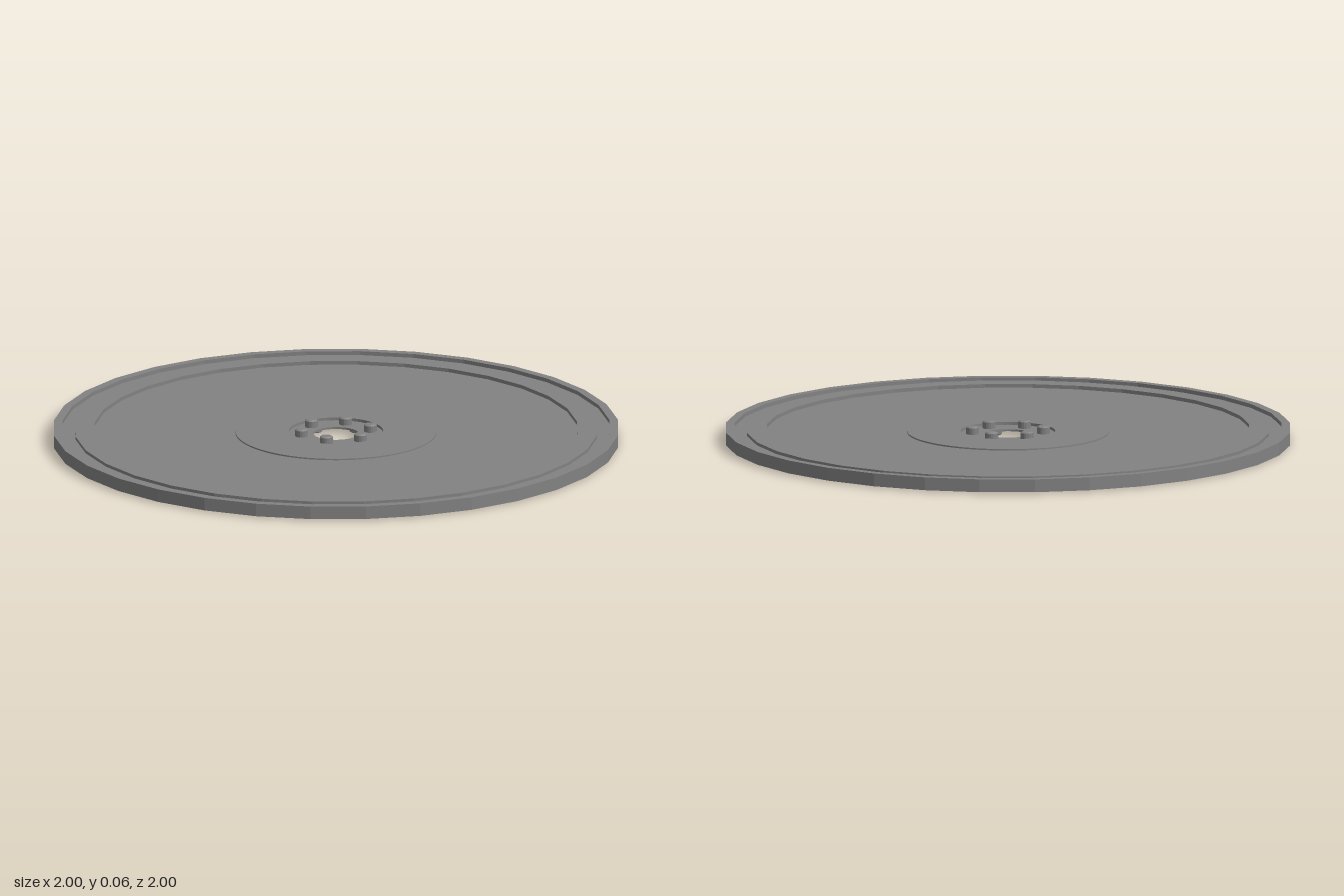
import * as THREE from 'three';

const material = new THREE.MeshStandardMaterial({ color: 0x828282, flatShading: true });

// Faceted solid of revolution from [radius, height] pairs (bottom outward, then top inward)
function turnedGeometry(profile, sides) {
  const points = profile.map(([r, y]) => new THREE.Vector2(r, y));
  points.push(points[0].clone());
  const geometry = new THREE.LatheGeometry(points, sides).toNonIndexed();
  geometry.computeVertexNormals();
  return geometry;
}

function addPart(parent, name, geometry) {
  const mesh = new THREE.Mesh(geometry, material);
  mesh.name = name;
  parent.add(mesh);
  return mesh;
}

// Six bevelled bolt heads on a circle, standing on the face at height base
function boltRing(name, radius, startDegrees, base, height) {
  const ring = new THREE.Group();
  ring.name = name;
  const geometry = turnedGeometry(
    [[0, 0], [0.023, 0], [0.023, height - 0.004], [0.017, height], [0, height]], 16);
  for (let i = 0; i < 6; i++) {
    const angle = THREE.MathUtils.degToRad(startDegrees + i * 60);
    addPart(ring, 'bolt', geometry).position.set(Math.cos(angle) * radius, 0, Math.sin(angle) * radius);
  }
  ring.position.y = base;
  return ring;
}

export function createModel() {
  const model = new THREE.Group();
  model.name = 'disc';

  // 32-sided plate: raised rim, groove and ridge above, shallow recess below
  addPart(model, 'rimPlate', turnedGeometry([
    [0.3, 0.018], [0.965, 0.018], [0.965, 0.004], [1, 0.004], [1, 0.05],
    [0.97, 0.05], [0.97, 0.036], [0.925, 0.036], [0.925, 0.047],
    [0.855, 0.047], [0.855, 0.034], [0.3, 0.034],
  ], 32));

  // Round raised centre, sunk around the through hole on both faces
  addPart(model, 'hub', turnedGeometry([
    [0.08, 0.022], [0.214, 0.022], [0.214, 0.011], [0.428, 0.011], [0.428, 0.02],
    [0.356, 0.03], [0.356, 0.039], [0.167, 0.039], [0.167, 0.029], [0.08, 0.029],
  ], 64));

  // Bolt heads on both faces; the lower ring is turned upside down
  model.add(boltRing('upperBolts', 0.125, 52, 0.028, 0.028));
  const lowerBolts = boltRing('lowerBolts', 0.14, -6, 0.023, 0.023);
  lowerBolts.rotation.x = Math.PI;
  model.add(lowerBolts);
  return model;
}
